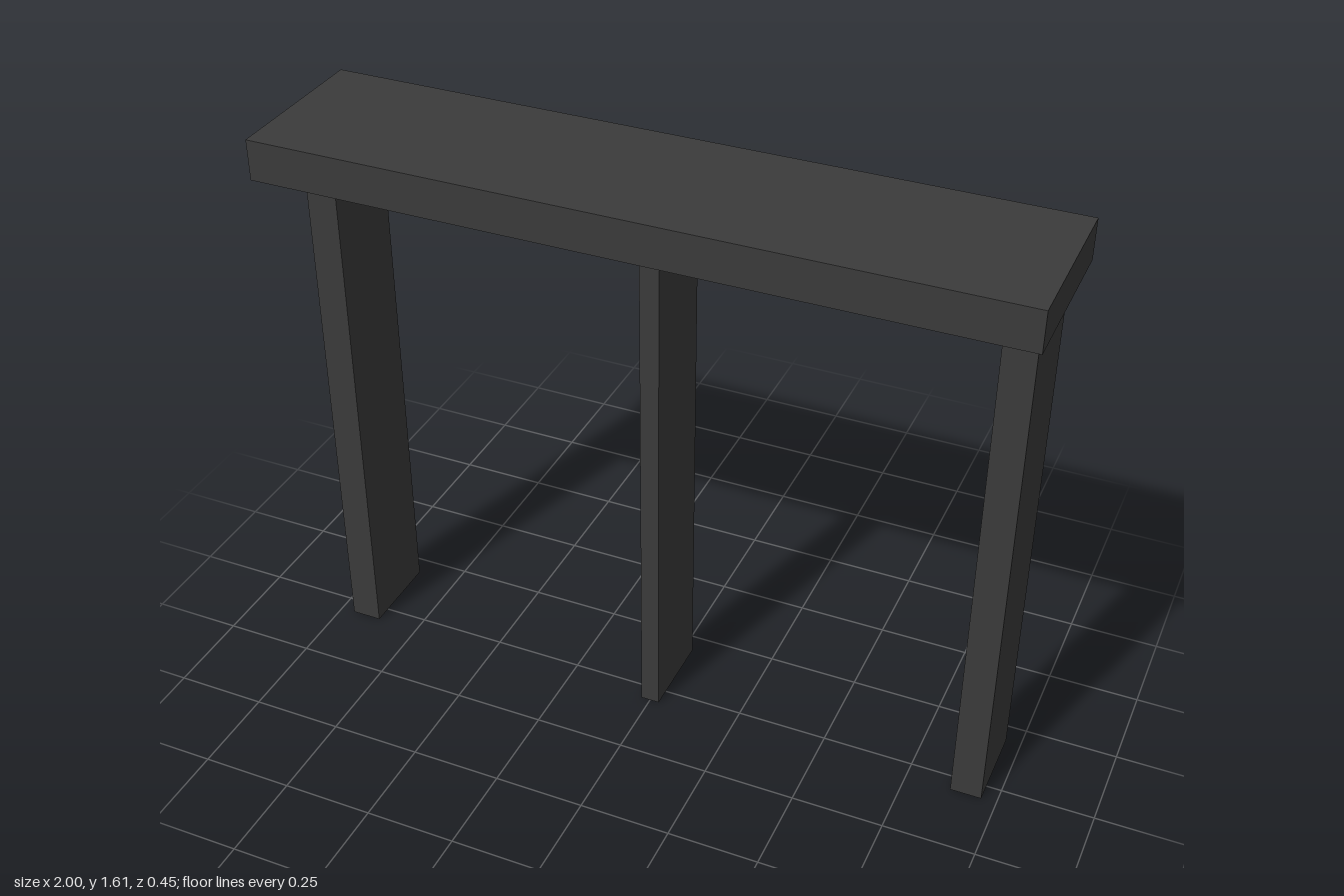
import * as THREE from 'three';

export function createModel() {
  const model = new THREE.Group();
  model.name = 'consoleTable';
  const charcoal = new THREE.MeshStandardMaterial({ color: 0x3b3b3b, side: THREE.DoubleSide });
  charcoal.name = 'charcoal';

  // Solid slab top
  const top = new THREE.Mesh(new THREE.BoxGeometry(2, 0.11, 0.447), charcoal);
  top.name = 'tableTop';
  top.position.y = 1.555;
  model.add(top);

  // Hollow rectangular leg, open at both ends
  function addLeg(name, x, width) {
    const height = 1.5;
    const geometry = new THREE.BoxGeometry(width, height, 0.243);
    const index = Array.from(geometry.index.array);
    index.splice(12, 12); // drop the upper and lower end faces
    geometry.setIndex(index);
    geometry.clearGroups();
    const leg = new THREE.Mesh(geometry, charcoal);
    leg.name = name;
    leg.position.set(x, height / 2, -0.071);
    model.add(leg);
  }

  addLeg('leftLeg', 0.916, 0.085);
  addLeg('middleLeg', 0, 0.052);
  addLeg('rightLeg', -0.916, 0.085);

  return model;
}
